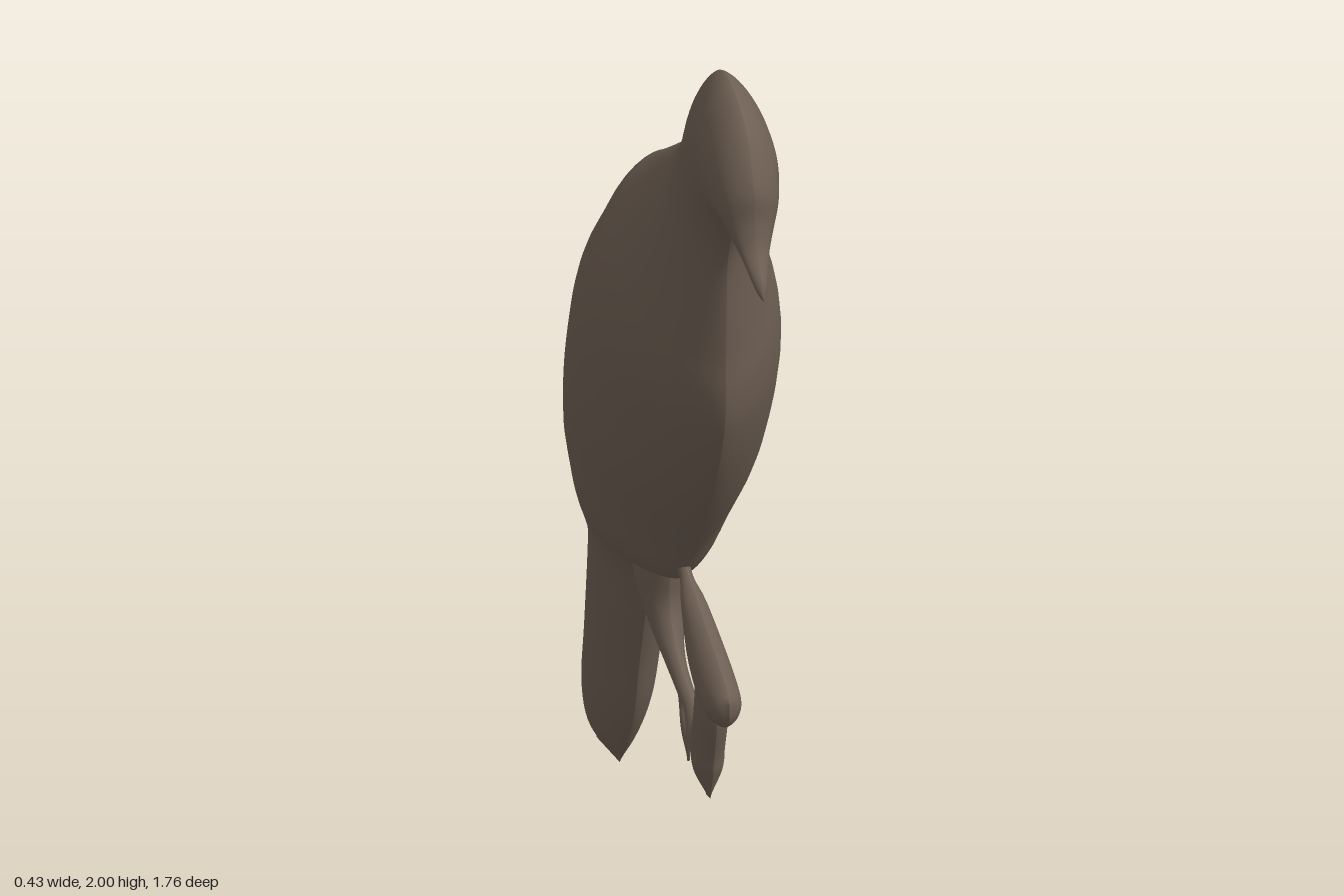
import * as THREE from 'three';

// The bird lies along a slightly turned vertical plane.
const planeX = (z, y) => 0.038 - 0.106 * z - 0.035 * y;

// Lens-shaped loft. Each station: [zA, yA, zB, yB, half thickness],
// where A and B are the two rims joined by a sharp seam.
function loft(stations, steps, across = 20) {
  const rimA = new THREE.CatmullRomCurve3(stations.map(s => new THREE.Vector3(s[4], s[1], s[0])), false, 'catmullrom', 0.5);
  const rimB = new THREE.CatmullRomCurve3(stations.map(s => new THREE.Vector3(s[4], s[3], s[2])), false, 'catmullrom', 0.5);
  const rows = (stations.length - 1) * steps;

  // Which way the grid winds, so both sides face outwards
  const m = Math.floor((stations.length - 1) / 2), p = stations[m], q = stations[m + 1];
  const dz = q[0] + q[2] - p[0] - p[2], dy = q[1] + q[3] - p[1] - p[3];
  const turn = dy * (p[2] - p[0]) - dz * (p[3] - p[1]) > 0 ? 1 : -1;

  const pos = [], idx = [];
  for (const side of [1, -1]) {
    const base = pos.length / 3;
    for (let i = 0; i <= rows; i++) {
      const a = rimA.getPoint(i / rows), b = rimB.getPoint(i / rows);
      for (let j = 0; j <= across; j++) {
        const v = -Math.cos(Math.PI * j / across), k = (v + 1) / 2;
        const y = a.y + (b.y - a.y) * k, z = a.z + (b.z - a.z) * k;
        const bulge = Math.max(a.x, 0) * Math.pow(Math.max(1 - v * v, 0), 0.7);
        pos.push(planeX(z, y) + side * bulge, y, z);
      }
    }
    for (let i = 0; i < rows; i++) for (let j = 0; j < across; j++) {
      const c = base + i * (across + 1) + j, d = c + across + 1;
      if (side * turn > 0) idx.push(c, d, c + 1, c + 1, d, d + 1);
      else idx.push(c, c + 1, d, c + 1, d + 1, d);
    }
  }
  const geo = new THREE.BufferGeometry();
  geo.setAttribute('position', new THREE.Float32BufferAttribute(pos, 3));
  geo.setIndex(idx);
  geo.computeVertexNormals();
  return geo;
}

export function createModel() {
  const bird = new THREE.Group();
  bird.name = 'bird';
  const brown = new THREE.MeshStandardMaterial({ color: 0x6e5f53 });
  brown.name = 'brown';
  const add = (name, stations, steps = 5, across = 14) => {
    const mesh = new THREE.Mesh(loft(stations, steps, across), brown);
    mesh.name = name;
    bird.add(mesh);
  };

  // Beak, head, trunk and tail in one sweep: back rim, then front rim
  add('body', [
    [0.88, 1.61, 0.878, 1.605, 0],
    [0.87, 1.645, 0.855, 1.618, 0.013],
    [0.835, 1.7, 0.8, 1.67, 0.03],
    [0.825, 1.76, 0.755, 1.7, 0.048],
    [0.825, 1.84, 0.71, 1.71, 0.065],
    [0.77, 1.945, 0.665, 1.695, 0.078],
    [0.66, 1.995, 0.625, 1.675, 0.082],
    [0.56, 1.998, 0.595, 1.645, 0.08],
    [0.45, 1.94, 0.57, 1.61, 0.078],
    [0.35, 1.83, 0.55, 1.57, 0.078],
    [0.26, 1.745, 0.535, 1.52, 0.09],
    [0.14, 1.685, 0.52, 1.44, 0.115],
    [0, 1.62, 0.5, 1.33, 0.152],
    [-0.12, 1.565, 0.485, 1.24, 0.18],
    [-0.22, 1.485, 0.45, 1.15, 0.197],
    [-0.35, 1.38, 0.37, 1.03, 0.205],
    [-0.47, 1.2, 0.25, 0.9, 0.2],
    [-0.6, 1.01, 0.1, 0.77, 0.175],
    [-0.64, 0.9, 0, 0.68, 0.152],
    [-0.65, 0.8, -0.12, 0.635, 0.13],
    [-0.645, 0.7, -0.22, 0.625, 0.108],
    [-0.64, 0.63, -0.28, 0.585, 0.09],
    [-0.665, 0.55, -0.33, 0.52, 0.084],
    [-0.74, 0.35, -0.43, 0.34, 0.078],
    [-0.82, 0.2, -0.5, 0.2, 0.07],
    [-0.863, 0.09, -0.585, 0.095, 0.046],
    [-0.876, 0.004, -0.66, 0.028, 0],
  ], 5, 24);

  // Folded wing tips behind the rump
  add('upperWingTip', [
    [-0.5, 1.0, -0.55, 0.7, 0.08],
    [-0.635, 0.9, -0.67, 0.69, 0.055],
    [-0.75, 0.825, -0.775, 0.7, 0.03],
    [-0.846, 0.767, -0.846, 0.722, 0],
  ]);
  add('lowerWingTip', [
    [-0.55, 0.8, -0.55, 0.65, 0.07],
    [-0.66, 0.76, -0.66, 0.63, 0.045],
    [-0.75, 0.73, -0.76, 0.61, 0.025],
    [-0.775, 0.69, -0.815, 0.595, 0],
  ]);

  // Front leg: thigh running forward, then shank running down
  add('frontThigh', [
    [0, 0.78, -0.04, 0.7, 0.02],
    [0.05, 0.712, 0.03, 0.68, 0.014],
    [0.12, 0.685, 0.1, 0.622, 0.028],
    [0.25, 0.635, 0.175, 0.535, 0.04],
    [0.34, 0.6, 0.3, 0.475, 0.042],
    [0.395, 0.575, 0.385, 0.49, 0.03],
    [0.416, 0.55, 0.412, 0.52, 0],
  ]);
  add('frontShank', [
    [0.31, 0.56, 0.18, 0.56, 0.03],
    [0.29, 0.46, 0.175, 0.47, 0.036],
    [0.25, 0.37, 0.135, 0.4, 0.036],
    [0.235, 0.33, 0.135, 0.32, 0.03],
    [0.2, 0.265, 0.16, 0.26, 0],
  ]);

  // Rear leg: curved from the front foot up into the belly
  add('rearLeg', [
    [0.19, 0.44, 0.18, 0.3, 0.02],
    [0.14, 0.415, 0.125, 0.325, 0.03],
    [0.06, 0.432, 0.05, 0.39, 0.018],
    [0, 0.45, -0.02, 0.41, 0.018],
    [-0.07, 0.485, -0.11, 0.44, 0.022],
    [-0.11, 0.53, -0.205, 0.5, 0.035],
    [-0.125, 0.58, -0.235, 0.56, 0.048],
    [-0.11, 0.66, -0.28, 0.62, 0.06],
    [-0.1, 0.75, -0.32, 0.72, 0.05],
  ]);
  add('rearToe', [
    [0.02, 0.44, -0.05, 0.43, 0.014],
    [0, 0.4, -0.025, 0.395, 0.013],
    [0.012, 0.34, -0.018, 0.34, 0.012],
    [0.015, 0.28, -0.01, 0.27, 0],
  ]);
  add('heelSpur', [
    [-0.2, 0.63, -0.2, 0.54, 0.02],
    [-0.25, 0.6, -0.24, 0.55, 0.014],
    [-0.28, 0.575, -0.272, 0.555, 0],
  ]);

  return bird;
}
